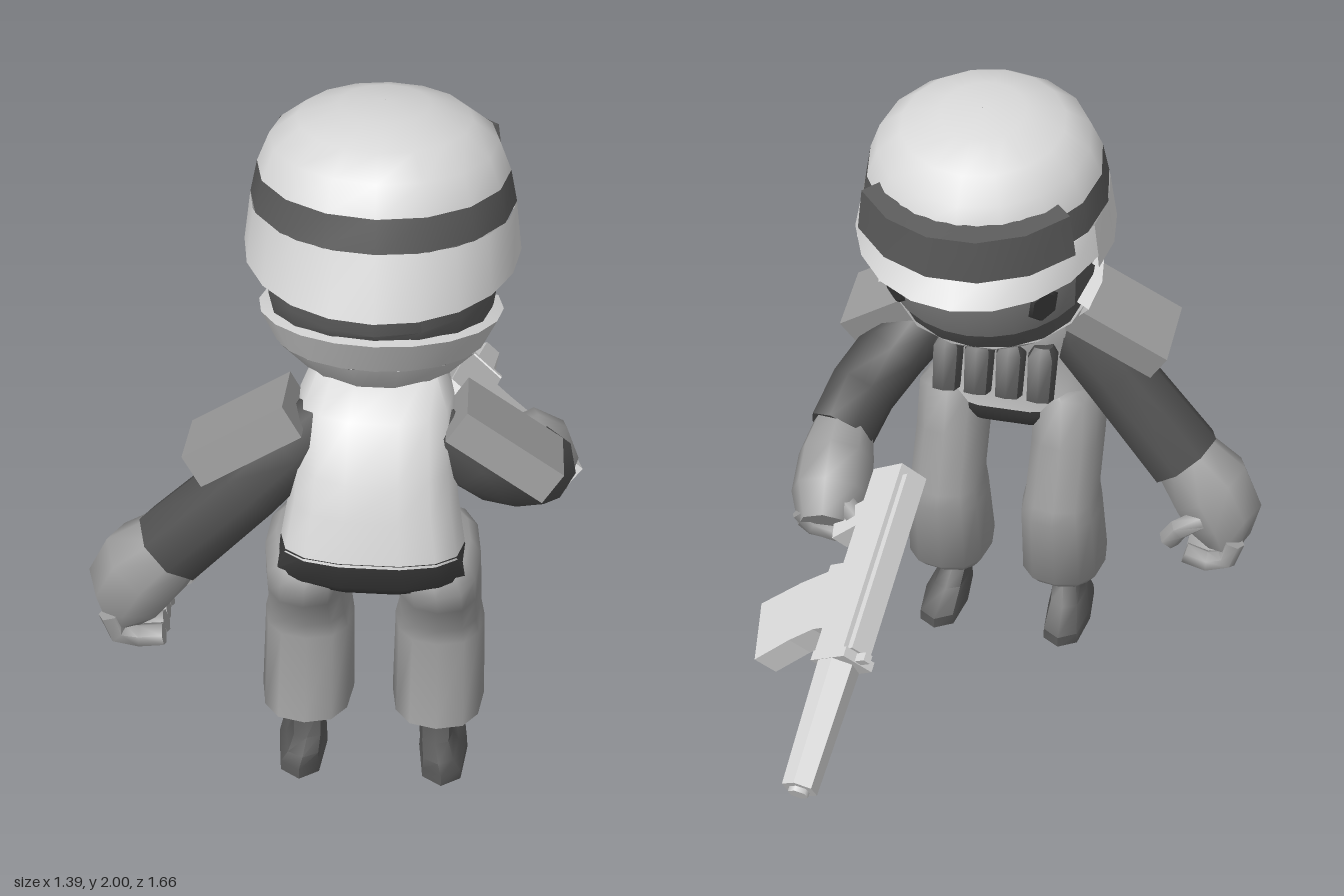
import * as THREE from 'three';
import { toCreasedNormals } from 'three/addons/utils/BufferGeometryUtils.js';

const mat = (name, color, side = THREE.FrontSide) =>
  Object.assign(new THREE.MeshStandardMaterial({ color, side }), { name });

const V = (x, y, z) => new THREE.Vector3(x, y, z);

// Skin a row of elliptical rings. Row: [x, y, z, radiusU, radiusV, tilt].
// level keeps rings horizontal; otherwise they follow the path.
function loft(rows, { n = 10, level = true, caps = true, p = 1, arc = null, crease = 0.9 } = {}) {
  const pos = [], idx = [];
  const c = rows.map(r => V(r[0], r[1], r[2]));
  const cols = arc ? n + 1 : n;
  const [a0, a1] = arc || [0, Math.PI * 2];
  const sp = v => Math.sign(v) * Math.pow(Math.abs(v), p);
  const run = c[c.length - 1].clone().sub(c[0]);
  const ref = level || Math.abs(run.z) < 0.5 * run.length() ? V(0, 0, 1) : V(0, 1, 0);
  rows.forEach((r, i) => {
    const t = level ? V(0, Math.sign(run.y) || 1, 0)
      : c[Math.min(i + 1, c.length - 1)].clone().sub(c[Math.max(i - 1, 0)]).normalize();
    const u = level ? V(1, 0, 0) : ref.clone().cross(t).normalize();
    const v = t.clone().cross(u);
    for (let j = 0; j < cols; j++) {
      const a = a0 + (a1 - a0) * j / n;
      const q = c[i].clone().addScaledVector(u, r[3] * sp(Math.cos(a))).addScaledVector(v, r[4] * sp(Math.sin(a)));
      q.y += (r[5] || 0) * (q.z - r[2]);
      pos.push(q.x, q.y, q.z);
    }
  });
  for (let i = 0; i + 1 < rows.length; i++) {
    for (let j = 0; j < n; j++) {
      const k = (j + 1) % cols, a = i * cols, b = a + cols;
      idx.push(a + j, a + k, b + k, a + j, b + k, b + j);
    }
  }
  if (caps && !arc) {
    [0, rows.length - 1].forEach((i, end) => {
      const m = pos.length / 3, o = i * cols;
      pos.push(c[i].x, c[i].y, c[i].z);
      for (let j = 0; j < n; j++) {
        const k = (j + 1) % cols;
        if (end) idx.push(m, o + j, o + k); else idx.push(m, o + k, o + j);
      }
    });
  }
  const g = new THREE.BufferGeometry();
  g.setAttribute('position', new THREE.Float32BufferAttribute(pos, 3));
  g.setIndex(idx);
  return toCreasedNormals(g, crease);
}

export function createModel() {
  const light = mat('pale cloth', 0xd8d8d8, THREE.DoubleSide);
  const dark = mat('dark strap', 0x5a5a5a, THREE.DoubleSide);
  const sleeveMat = mat('dark sleeve', 0x505050);
  const grey = mat('grey cloth', 0x9a9a9a);
  const scarfMat = mat('scarf', 0xc6c6c6, THREE.DoubleSide);
  const gloveMat = mat('glove grey', 0x9e9e9e);
  const skin = mat('face', 0x808080);
  const black = mat('black', 0x383838);
  const gunMat = mat('gun metal', 0xd8d8d8);

  const model = new THREE.Group();
  const add = (parent, name, geo, m, p = [0, 0, 0], r = [0, 0, 0]) => {
    const mesh = new THREE.Mesh(geo, m);
    mesh.name = name;
    mesh.position.set(...p);
    mesh.rotation.set(...r);
    parent.add(mesh);
    return mesh;
  };
  const box = (w, h, d) => new THREE.BoxGeometry(w, h, d);
  const CX = 0.11;

  // Helmet, pitched forward, with the rim cut higher over the face
  const helmet = new THREE.Group();
  helmet.name = 'helmet';
  helmet.position.set(CX, 1.72, 0.31);
  helmet.rotation.x = -0.16;
  model.add(helmet);
  const H = { n: 16, caps: false, crease: 0.6 };
  const rim = (name, y, tilt, rz, n, arc) => add(helmet, name, loft([
    [0, -0.03, 0, 0.31, 0.33], [0, y + 0.005, -0.015, 0.345, rz - 0.027, tilt],
    [0, y, -0.015, 0.367, rz, tilt], [0, 0, -0.005, 0.35, 0.365]], { n, arc, crease: 0.6 }), light);
  rim('helmetRim', -0.14, -0.08, 0.42, 12, [Math.PI - 0.3, Math.PI * 2 + 0.3]);
  rim('helmetBrim', -0.085, 0, 0.43, 8, [0.3, Math.PI - 0.3]);
  add(helmet, 'helmetBand', loft([[0, 0, -0.005, 0.35, 0.365], [0, 0.09, 0, 0.332, 0.345]], H), dark);
  add(helmet, 'helmetDome', loft([
    [0, 0.09, 0, 0.332, 0.345], [0, 0.17, 0, 0.3, 0.31], [0, 0.225, 0, 0.23, 0.24],
    [0, 0.262, 0, 0.12, 0.13], [0, 0.272, 0, 0.001, 0.001]], { ...H, crease: 1 }), light);
  add(helmet, 'goggles', loft([
    [0, -0.005, 0, 0.33, 0.36], [0, -0.005, 0, 0.38, 0.415], [0, 0.12, 0, 0.36, 0.395], [0, 0.125, 0, 0.31, 0.33]],
    { n: 5, arc: [0.62, Math.PI - 0.62] }), dark);

  // Head: scarf bowl that rises behind the jaw, mask and face opening
  const behindJaw = { n: 12, arc: [Math.PI - 0.32, Math.PI * 2 + 0.32] };
  const scarfMid = [CX, 1.34, 0.39, 0.285, 0.255, 0.22];
  const scarfTop = [CX, 1.415, 0.365, 0.327, 0.335, 0.3];
  add(model, 'scarfBowl', loft([
    [CX, 1.185, 0.39, 0.07, 0.06], [CX, 1.265, 0.39, 0.21, 0.195, 0.12], scarfMid], { n: 14, caps: false }), scarfMat);
  add(model, 'scarfBack', loft([scarfMid, scarfTop], behindJaw), scarfMat);
  add(model, 'scarfEdge', loft([scarfTop, [CX, 1.425, 0.365, 0.285, 0.295, 0.3]], behindJaw), light);
  add(model, 'mask', loft([
    [CX, 1.33, 0.39, 0.27, 0.24, 0.22], [CX, 1.44, 0.375, 0.3, 0.295, 0.25],
    [CX, 1.54, 0.345, 0.315, 0.345], [CX, 1.68, 0.34, 0.3, 0.32]], { n: 16 }), dark);
  add(model, 'face', loft([
    [CX, 1.44, 0.375, 0.306, 0.302, 0.25], [CX, 1.54, 0.345, 0.32, 0.352], [CX, 1.68, 0.34, 0.305, 0.327]],
    { n: 10, arc: [0.46, Math.PI - 0.46], crease: 1 }), skin);
  for (const s of [-1, 1]) {
    const feature = (name, geo, a, y, rz, drop, roll) => {
      const m = add(model, name, geo, black, [CX + s * 0.322 * Math.sin(a), y, 0.347 - rz * Math.cos(a)]);
      m.lookAt(m.position.x + s * Math.sin(a), y - drop, m.position.z - Math.cos(a));
      m.rotateZ(roll);
    };
    feature('eye', new THREE.CylinderGeometry(0.042, 0.05, 0.0095, 6).rotateX(Math.PI / 2).scale(1, 1.25, 1), 0.74, 1.485, 0.342, 0.22, 0);
    feature('brow', box(0.11, 0.03, 0.0095), 0.6, 1.57, 0.353, 0, s * -0.2);
  }

  // Torso, collar, belt and ammunition pouches
  add(model, 'vest', loft([
    [CX, 0.845, 0.67, 0.25, 0.155, 0.2], [CX, 1.0, 0.635, 0.225, 0.155], [CX, 1.1, 0.585, 0.215, 0.17],
    [CX, 1.24, 0.51, 0.205, 0.16], [CX, 1.31, 0.47, 0.17, 0.11]], { n: 14, p: 0.75 }), light);
  add(model, 'collar', loft([[CX, 1.17, 0.43, 0.15, 0.11], [CX, 1.27, 0.42, 0.15, 0.12], [CX, 1.3, 0.42, 0.12, 0.1]]), light);
  add(model, 'belt', loft([
    [CX, 0.75, 0.66, 0.22, 0.12], [CX, 0.795, 0.665, 0.275, 0.148], [CX, 0.855, 0.67, 0.248, 0.153, 0.2]], { n: 14, p: 0.75 }), black);
  for (let i = 0; i < 4; i++) {
    add(model, 'pouch', loft([[0, -0.08, 0, 0.041, 0.05], [0, 0.055, 0, 0.045, 0.055], [0, 0.085, 0, 0.028, 0.034]],
      { n: 8, p: 0.6 }), sleeveMat, [CX - 0.144 + i * 0.096, 1.045, 0.405], [0.25, 0, 0]);
  }

  // Legs and boots
  for (const s of [-1, 1]) {
    const x = CX + s * 0.183;
    add(model, 'trouserLeg', loft([
      [x, 0.195, 0.57, 0.1, 0.1], [x + s * 0.002, 0.235, 0.59, 0.13, 0.162],
      [x, 0.48, 0.535, 0.125, 0.138], [x, 0.53, 0.54, 0.115, 0.135],
      [x, 0.69, 0.622, 0.113, 0.135, -0.15], [x + s * -0.005, 0.81, 0.658, 0.115, 0.138, -0.4],
      [x + s * -0.02, 0.855, 0.655, 0.1, 0.11, -0.3]], { n: 12, p: 0.8, crease: 1.1 }), grey);
    add(model, 'boot', loft([
      [x + s * 0.02, 0, 0.575, 0.07, 0.165], [x + s * 0.02, 0.035, 0.575, 0.068, 0.165],
      [x + s * 0.01, 0.075, 0.625, 0.055, 0.105], [x, 0.12, 0.635, 0.048, 0.06], [x, 0.22, 0.628, 0.048, 0.052]], { n: 8, p: 0.7 }), dark);
  }

  // Arms: hanging on one side, bent forward to the gun on the other
  const limb = { n: 8, level: false, crease: 1.1 };
  add(model, 'rightSleeve', loft([
    [-0.02, 1.2, 0.57, 0.07, 0.08], [-0.1, 1.11, 0.58, 0.1, 0.11],
    [-0.22, 0.97, 0.58, 0.11, 0.115], [-0.45, 0.705, 0.555, 0.122, 0.118]], limb), sleeveMat);
  add(model, 'rightGlove', loft([
    [-0.43, 0.73, 0.555, 0.1, 0.1], [-0.53, 0.62, 0.545, 0.135, 0.13],
    [-0.58, 0.53, 0.535, 0.125, 0.13], [-0.6, 0.45, 0.53, 0.07, 0.1]], limb), gloveMat);
  add(model, 'leftSleeve', loft([
    [0.27, 1.17, 0.58, 0.07, 0.07], [0.36, 1.08, 0.56, 0.1, 0.1], [0.45, 0.99, 0.5, 0.105, 0.11],
    [0.52, 0.9, 0.4, 0.105, 0.11], [0.555, 0.82, 0.28, 0.105, 0.11]], limb), sleeveMat);
  add(model, 'leftGlove', loft([
    [0.555, 0.835, 0.3, 0.09, 0.09], [0.55, 0.78, 0.2, 0.115, 0.125],
    [0.54, 0.715, 0.1, 0.12, 0.135], [0.53, 0.66, 0.01, 0.085, 0.095]], limb), gloveMat);
  const finger = pts => add(model, 'finger',
    loft(pts.map(q => [...q, 0.034, 0.034]), { n: 6, level: false, crease: 1.1 }), gloveMat);
  for (let i = 0; i < 4; i++) {
    const z = 0.45 + i * 0.055;
    finger([[-0.63, 0.49, z], [-0.61, 0.42, z], [-0.55, 0.4 + 0.01 * (i % 2), z], [-0.48, 0.42, z]]);
    const w = 0.13 - i * 0.037, y = 0.6 + i * 0.015;
    finger([[0.61, y + 0.06, w], [0.57, y + 0.015, w], [0.5, y, w], [0.43, y + 0.04, w]]);
  }
  finger([[-0.53, 0.56, 0.45], [-0.46, 0.52, 0.43], [-0.43, 0.47, 0.44]]);
  finger([[0.5, 0.74, 0.06], [0.43, 0.72, 0], [0.39, 0.69, -0.04]]);

  // Shoulder pads, rolled forward about their length
  const pad = box(0.31, 0.1, 0.225).rotateX(-0.25);
  add(model, 'rightShoulderPad', pad, grey, [-0.235, 1.15, 0.595], [0, 0.12, 0.53]);
  add(model, 'leftShoulderPad', pad, grey, [0.455, 1.14, 0.58], [0, -0.12, -0.57]);

  // Rifle: local -z runs to the muzzle, local -y to the magazine
  const gun = new THREE.Group();
  gun.name = 'rifle';
  const back = V(-0.06, 0.48, 0.89).normalize();
  const up = V(-0.74, 0.67, 0);
  up.addScaledVector(back, -up.dot(back)).normalize();
  gun.quaternion.setFromRotationMatrix(new THREE.Matrix4().makeBasis(up.clone().cross(back), up, back));
  gun.position.set(0.315, 0.85, 0.07);
  model.add(gun);
  add(gun, 'receiver', box(0.1, 0.13, 0.62), gunMat, [0, 0, -0.31]);
  add(gun, 'topRail', box(0.07, 0.03, 0.56), gunMat, [0, 0.07, -0.31]);
  add(gun, 'barrelCollar', box(0.11, 0.15, 0.03), gunMat, [0, 0.01, -0.61]);
  add(gun, 'frontSight', box(0.025, 0.05, 0.025), gunMat, [0, 0.1, -0.61]);
  add(gun, 'barrel', toCreasedNormals(new THREE.CylinderGeometry(0.062, 0.052, 0.39, 6).rotateX(Math.PI / 2), 0.3), gunMat, [0, 0, -0.81]);
  add(gun, 'muzzle', new THREE.CylinderGeometry(0.03, 0.03, 0.03, 6).rotateX(Math.PI / 2), gunMat, [0, 0, -1.005]);
  add(gun, 'magazineWell', box(0.085, 0.09, 0.21), gunMat, [0, -0.09, -0.41]);
  const side = new THREE.Shape([[0.32, -0.1], [0.51, -0.1], [0.54, -0.22], [0.59, -0.36], [0.4, -0.42], [0.35, -0.25]]
    .map(q => new THREE.Vector2(...q)));
  add(gun, 'magazine', new THREE.ExtrudeGeometry(side, { depth: 0.085, bevelEnabled: false })
    .translate(0, 0, -0.0425).rotateY(Math.PI / 2), gunMat);
  add(gun, 'grip', box(0.06, 0.17, 0.08), gunMat, [0, -0.12, -0.14], [0.3, 0, 0]);
  add(gun, 'triggerGuard', new THREE.TorusGeometry(0.05, 0.01, 4, 8, Math.PI).rotateZ(Math.PI).rotateY(Math.PI / 2), gunMat, [0, -0.065, -0.24]);

  return model;
}
